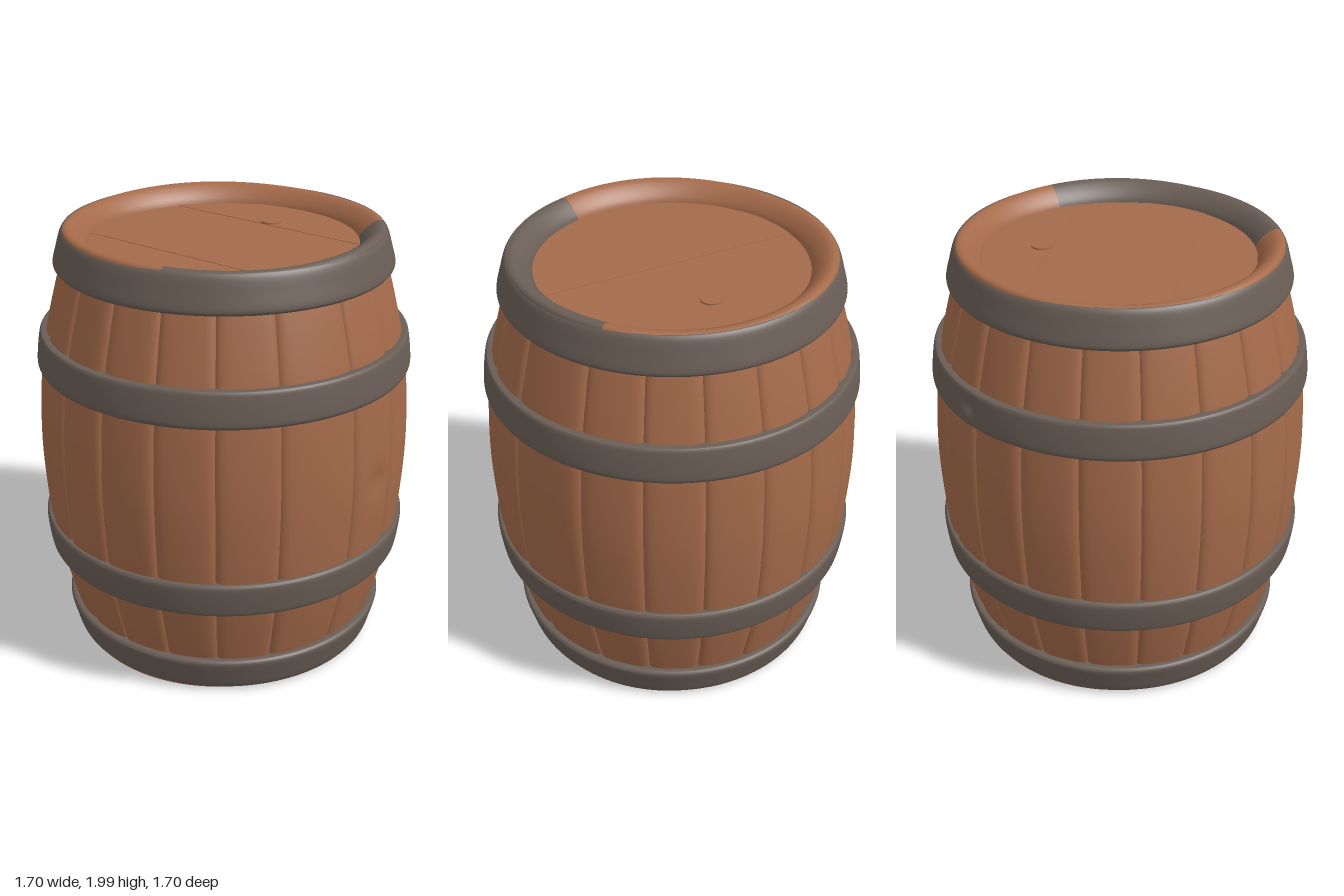
import * as THREE from 'three';

const wood = new THREE.MeshStandardMaterial({ color: 0xa46a4a });
wood.name = 'wood';
const metal = new THREE.MeshStandardMaterial({ color: 0x6a5e56 });
metal.name = 'hoopMetal';

const rad = THREE.MathUtils.degToRad;

// Smooth profile through [radius, y] points
function profile(points, samples) {
  const curve = new THREE.SplineCurve(points.map(p => new THREE.Vector2(...p)));
  return curve.getPoints(samples);
}

// Turned part covering start..end degrees (0 = front, 90 = +x)
function turned(name, pts, material, start = 0, end = 360, segments = 180) {
  const geo = new THREE.LatheGeometry(pts, segments, rad(start), rad(end - start));
  const mesh = new THREE.Mesh(geo, material);
  mesh.name = name;
  return mesh;
}

// Rewrite each vertex as (angle, y, radius) through a rule returning the new triple
function reshape(geo, rule) {
  const pos = geo.attributes.position;
  for (let i = 0; i < pos.count; i++) {
    const x = pos.getX(i), z = pos.getZ(i);
    const [a, y, r] = rule(Math.atan2(x, z), pos.getY(i), Math.hypot(x, z), i);
    pos.setXYZ(i, r * Math.sin(a), y, r * Math.cos(a));
  }
}

// Soft round hollow: depth removed from the radius near a spot
function hollow(a, y, spotA, spotY, size, depth) {
  const da = Math.atan2(Math.sin(a - spotA), Math.cos(a - spotA)) * 0.84;
  return depth * Math.exp(-(da * da + (y - spotY) ** 2) / (size * size));
}

// Bulging staves with rounded edges that meet in grooves
function makeStaves() {
  const group = new THREE.Group();
  group.name = 'staves';
  const edges = [-35, -10, 9, 35];
  for (let a = 54; a <= 306; a += 18) edges.push(a);
  edges.push(325);
  const side = profile([[0.68, 0.05], [0.732, 0.2], [0.803, 0.48], [0.834, 0.68],
    [0.851, 1], [0.834, 1.32], [0.803, 1.52], [0.732, 1.8], [0.68, 1.95]], 56);
  const n = 14;
  for (let s = 0; s < edges.length - 1; s++) {
    const a0 = rad(edges[s]), width = rad(edges[s + 1]) - a0;
    const stave = turned('stave', side, wood, edges[s], edges[s + 1], n);
    reshape(stave.geometry, (a, y, r, i) => {
      const u = 0.5 - 0.5 * Math.cos(Math.PI * Math.floor(i / side.length) / n);
      const angle = a0 + u * width;
      const edge = Math.min(u, 1 - u) * width * 0.83;
      const groove = 0.016 * Math.exp(-edge / 0.013);
      const knot = hollow(angle, y, rad(1), 0.97, 0.06, 0.018);
      return [angle, y, r - groove - knot];
    });
    stave.geometry.computeVertexNormals();
    group.add(stave);
  }
  return group;
}

// Round lid made of close-fitting planks running front to back
function makeLid() {
  const group = new THREE.Group();
  group.name = 'lid';
  const R = 0.6, count = 8, w = 2 * R / count;
  const rise = [0, 0, 0.002, 0.002, 0, 0, 0.002, 0.002];
  for (let k = 0; k < count; k++) {
    const x0 = -R + k * w;
    const arc = [];
    for (let j = 0; j <= 12; j++) {
      const x = x0 + w * j / 12;
      arc.push(new THREE.Vector2(x, Math.sqrt(Math.max(0, R * R - x * x))));
    }
    const lower = arc.map(p => new THREE.Vector2(p.x, -p.y));
    const shape = new THREE.Shape([...lower, ...arc.reverse()]);
    const geo = new THREE.ExtrudeGeometry(shape, { depth: 0.05 + rise[k], bevelEnabled: false });
    const plank = new THREE.Mesh(geo.rotateX(-Math.PI / 2), wood);
    plank.name = 'lidPlank';
    plank.position.y = 1.858;
    group.add(plank);
  }
  // Round bung, almost flush
  const bung = new THREE.Mesh(new THREE.CylinderGeometry(0.049, 0.05, 0.03, 28), wood);
  bung.name = 'bung';
  bung.position.set(0.35, 1.902, 0);
  group.add(bung);
  return group;
}

// Upper half fittings: two hoops, rim and lid; metal covers the rim from m0 to m1 degrees
function makeHalf(name, m0, m1, dented) {
  const group = new THREE.Group();
  group.name = name;

  const bellyHoop = turned('bellyHoop', profile([[0.78, 1.366], [0.832, 1.365], [0.844, 1.372],
    [0.849, 1.39], [0.844, 1.445], [0.836, 1.5], [0.83, 1.52], [0.818, 1.527], [0.77, 1.526]], 36), metal, 0, 360, 220);
  if (dented) {
    reshape(bellyHoop.geometry, (a, y, r) =>
      [a, y, r - hollow(a, y, rad(143), 1.45, 0.028, 0.022)]);
    bellyHoop.geometry.computeVertexNormals();
  }
  group.add(bellyHoop);

  group.add(turned('endHoop', profile([[0.69, 1.817], [0.738, 1.815], [0.752, 1.821], [0.757, 1.84],
    [0.741, 1.9], [0.727, 1.95], [0.716, 1.973], [0.703, 1.98], [0.68, 1.955]], 32), metal));

  // Sloping rounded rim, part bare wood and part wrapped in metal
  const rim = profile([[0.717, 1.962], [0.708, 1.981], [0.688, 1.988], [0.662, 1.98],
    [0.632, 1.957], [0.608, 1.928], [0.597, 1.9], [0.595, 1.88]], 28);
  const parts = [turned('rimMetal', rim, metal, m0, m1, 60), turned('rimWood', rim, wood, m1, m0 + 360, 120)];
  for (const part of parts) {
    reshape(part.geometry, (a, y, r) => [a, y + 0.006 * Math.sin(3 * a + 0.6) * (y > 1.97 ? 1 : 0.3), r]);
    group.add(part);
  }

  group.add(makeLid());
  return group;
}

export function createModel() {
  const barrel = new THREE.Group();
  barrel.name = 'barrel';
  barrel.add(makeStaves());
  barrel.add(makeHalf('topFittings', -72, 40, true));
  // Same fittings turned over for the base
  const base = makeHalf('baseFittings', 42, 164, false);
  base.rotation.x = Math.PI;
  base.position.y = 2;
  barrel.add(base);
  return barrel;
}
